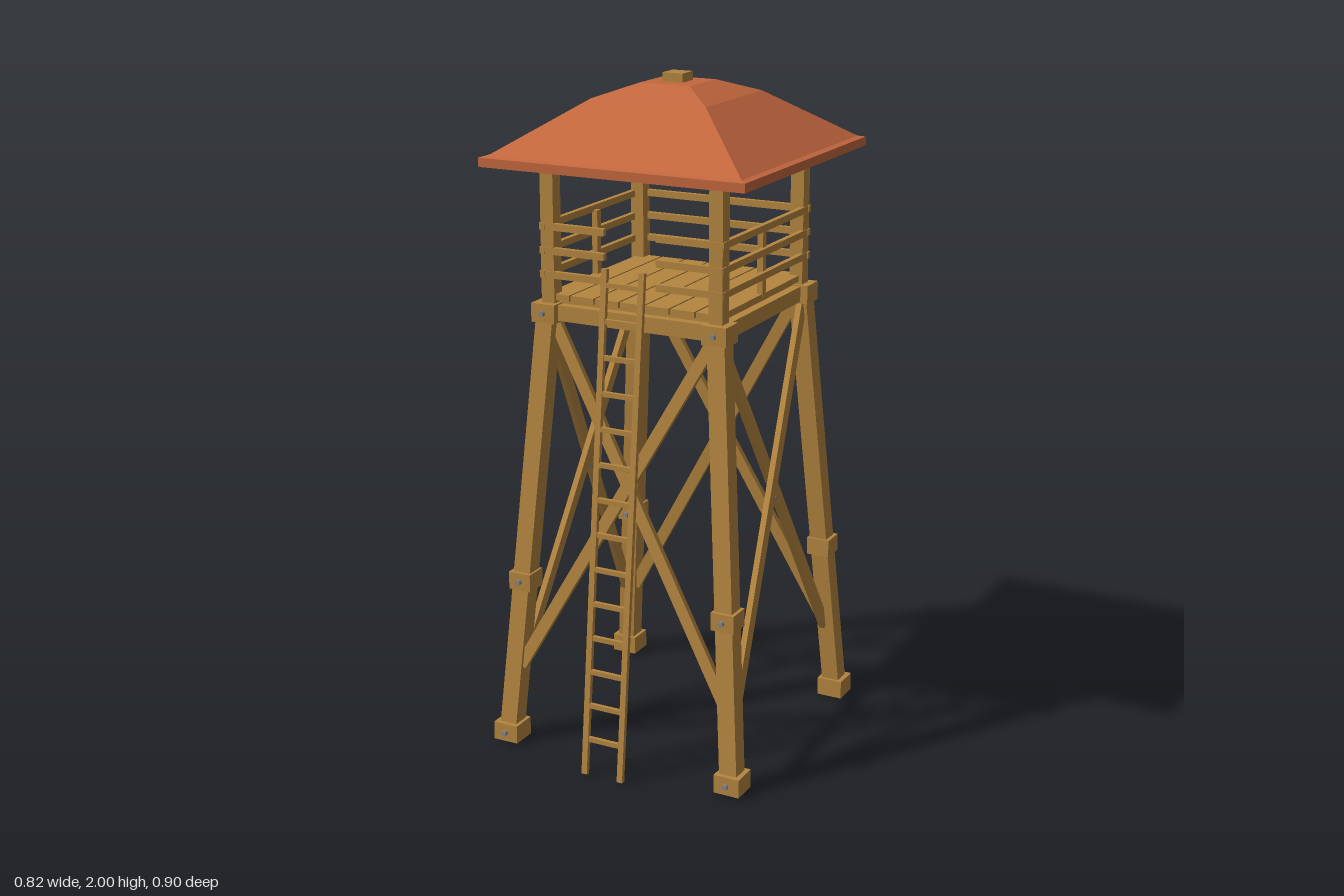
import * as THREE from 'three';

export function createModel() {
  const model = new THREE.Group();
  model.name = 'watchtower';
  const mat = (name, color) => {
    const m = new THREE.MeshStandardMaterial({ color });
    m.name = name;
    return m;
  };
  const wood = mat('wood', 0xb58640);
  const roofRed = mat('roof red', 0xc4683e);
  const iron = mat('iron', 0x85878a);
  roofRed.side = THREE.DoubleSide;
  roofRed.flatShading = true;

  const tower = new THREE.Group();
  tower.name = 'tower';
  tower.position.z = -0.027;
  model.add(tower);

  const add = (parent, name, geo, material) => {
    const mesh = new THREE.Mesh(geo, material);
    mesh.name = name;
    parent.add(mesh);
    return mesh;
  };
  const box = (parent, name, w, h, d, x, y, z) => {
    const m = add(parent, name, new THREE.BoxGeometry(w, h, d), wood);
    m.position.set(x, y, z);
    return m;
  };
  // straight timber from a to b; out is the direction its thin side faces
  const strut = (parent, name, a, b, w, d, out) => {
    const y = b.clone().sub(a);
    const m = add(parent, name, new THREE.BoxGeometry(w, y.length(), d), wood);
    y.normalize();
    const x = new THREE.Vector3().crossVectors(y, out).normalize();
    const z = new THREE.Vector3().crossVectors(x, y);
    m.quaternion.setFromRotationMatrix(new THREE.Matrix4().makeBasis(x, y, z));
    m.position.copy(a).add(b).multiplyScalar(0.5);
    return m;
  };
  const bolt = (parent, x, y, z) => {
    const m = add(parent, 'bolt', new THREE.CylinderGeometry(0.008, 0.008, 0.024, 8), iron);
    m.rotation.x = Math.PI / 2;
    m.position.set(x, y, z);
  };
  const legAt = (y) => 0.374 - 0.076 * y; // distance of the leg's centre line from the axis
  const V = (x, y, z) => new THREE.Vector3(x, y, z);

  // splayed legs with collars, bolts and the posts above them
  for (const sx of [-1, 1]) for (const sz of [-1, 1]) {
    const geo = new THREE.BoxGeometry(0.055, 1.34, 0.055).translate(0, 0.68, 0);
    const p = geo.attributes.position;
    for (let i = 0; i < p.count; i++) {
      const r = legAt(p.getY(i));
      p.setX(i, p.getX(i) + sx * r);
      p.setZ(i, p.getZ(i) + sz * r);
    }
    geo.computeVertexNormals();
    add(tower, 'leg', geo, wood);
    for (const [y, w, h] of [[0.034, 0.08, 0.056], [0.517, 0.072, 0.054], [1.332, 0.076, 0.056]]) {
      const r = legAt(y);
      box(tower, 'collar', w, h, w, sx * r, y, sz * r);
      bolt(tower, sx * r, y, sz * (r + w / 2));
    }
    box(tower, 'post', 0.042, 0.42, 0.042, sx * 0.267, 1.57, sz * 0.267);
  }

  // four sides: cross braces, floor beam, railing and roof beam
  for (let i = 0; i < 4; i++) {
    const side = new THREE.Group();
    side.name = ['frontSide', 'leftSide', 'backSide', 'rightSide'][i];
    side.rotation.y = i * Math.PI / 2;
    tower.add(side);
    const out = V(0, 0.076, 1).normalize();
    for (const s of [-1, 1]) {
      strut(side, 'brace', V(-s * 0.335, 0.25, legAt(0.25) + s * 0.009),
        V(s * 0.26, 1.31, legAt(1.31) + s * 0.009), 0.036, 0.018, out);
    }
    bolt(side, 0, 0.77, legAt(0.77));
    box(side, 'floorBeam', 0.5, 0.046, 0.04, 0, 1.333, 0.268);
    box(side, 'roofBeam', 0.56, 0.03, 0.035, 0, 1.775, 0.267);
    for (const y of [1.443, 1.512, 1.582]) {
      if (i > 0) box(side, 'rail', 0.585, 0.02, 0.016, 0, y, 0.282);
      else for (const s of [-1, 1]) box(side, 'rail', 0.21, 0.02, 0.016, s * 0.187, y, 0.282);
    }
    if (i > 0) box(side, 'railPost', 0.022, 0.2, 0.018, 0, 1.477, 0.27);
  }

  // plank floor
  box(tower, 'subfloor', 0.52, 0.012, 0.52, 0, 1.362, 0);
  const planks = 7, pitch = 0.56 / planks;
  for (let i = 0; i < planks; i++) {
    box(tower, 'plank', pitch - 0.006, 0.018, 0.56, (i - (planks - 1) / 2) * pitch, 1.377, 0);
  }

  // hollow hipped roof with an eave rim
  const profile = [[0.385, 1.79], [0.385, 1.76], [0.411, 1.76], [0.411, 1.786], [0.392, 1.79],
    [0.18, 1.936], [0.08, 1.974], [0, 1.975]].map(([r, y]) => new THREE.Vector2(r * Math.SQRT2, y));
  const roofGeo = new THREE.LatheGeometry(profile, 4, Math.PI / 4).toNonIndexed();
  roofGeo.computeVertexNormals();
  add(tower, 'roof', roofGeo, roofRed);
  box(tower, 'roofCap', 0.064, 0.03, 0.064, 0, 1.985, 0);

  // leaning ladder
  const ladder = new THREE.Group();
  ladder.name = 'ladder';
  model.add(ladder);
  const ladderZ = (y) => 0.445 - 0.1 * y;
  for (const s of [-1, 1]) {
    strut(ladder, 'ladderRail', V(s * 0.059, 0.001, ladderZ(0)), V(s * 0.059, 1.49, ladderZ(1.49)),
      0.018, 0.014, V(0, 0, 1));
  }
  for (let i = 0; i < 14; i++) {
    const y = 0.11 + i * 0.1027;
    box(ladder, 'rung', 0.11, 0.014, 0.012, 0, y, ladderZ(y));
  }
  return model;
}
